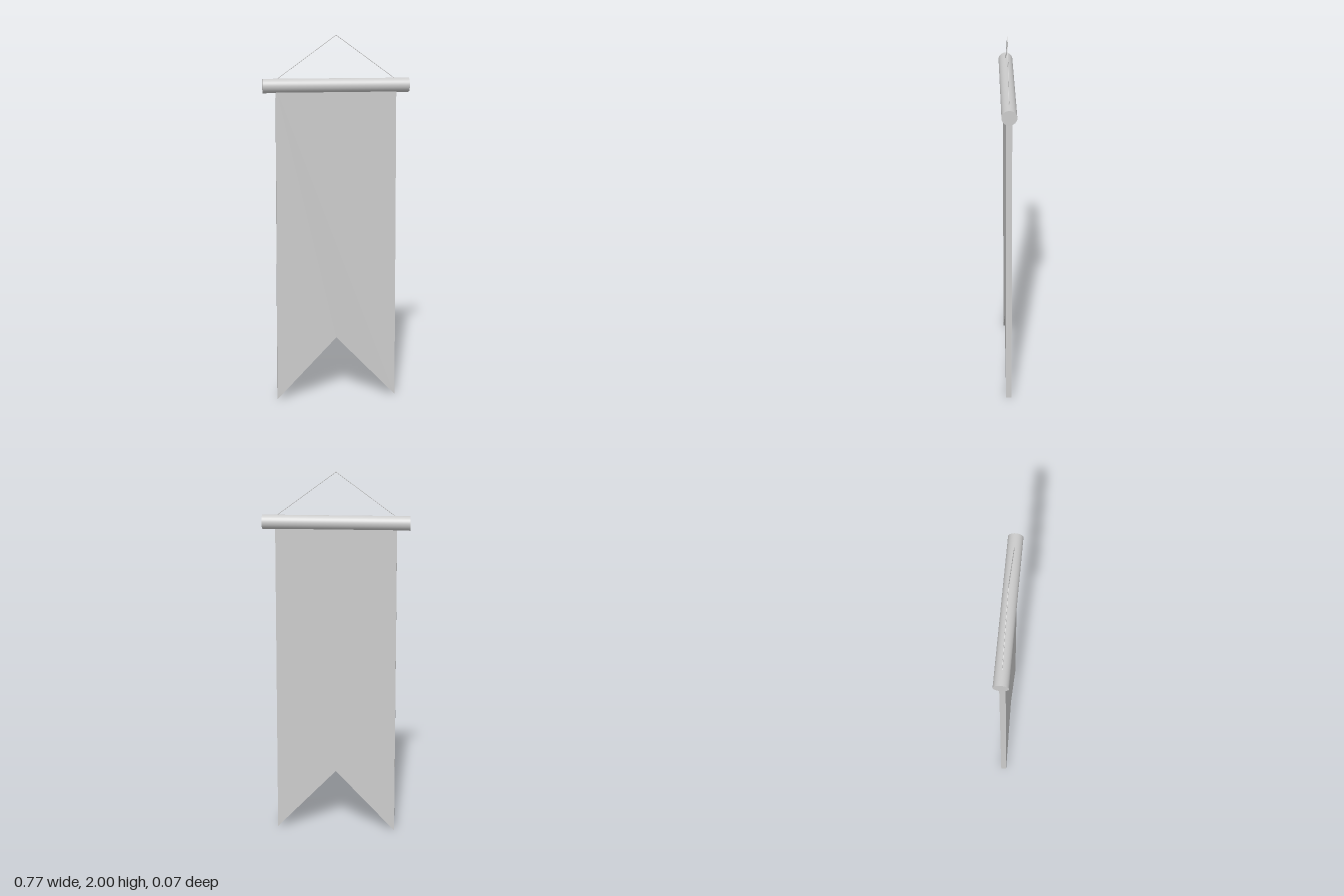
import * as THREE from 'three';

export function createModel() {
  const group = new THREE.Group();
  const material = new THREE.MeshStandardMaterial({ color: 0xcccccc });

  const add = (name, geometry) => {
    const mesh = new THREE.Mesh(geometry, material);
    mesh.name = name;
    group.add(mesh);
    return mesh;
  };

  // Horizontal rod
  const rodY = 1.742, rodRadius = 0.037;
  const rod = add('rod', new THREE.CylinderGeometry(rodRadius, rodRadius, 0.766, 32));
  rod.rotation.z = Math.PI / 2;
  rod.position.y = rodY;

  // Swallow-tailed cloth, slightly wider at the bottom
  const thickness = 0.031;
  const outline = new THREE.Shape([
    [-0.315, rodY], [-0.332, 0], [0, 0.355], [0.332, 0], [0.315, rodY],
  ].map(([x, y]) => new THREE.Vector2(x, y)));
  const cloth = new THREE.ExtrudeGeometry(outline, { depth: thickness, bevelEnabled: false });
  cloth.translate(0, 0, -thickness / 2);
  add('bannerCloth', cloth);

  // Hanging cord, two straight strands meeting at a peak
  const peak = new THREE.Vector3(0, 1.999, 0);
  for (const [side, name] of [[1, 'leftCord'], [-1, 'rightCord']]) {
    const end = new THREE.Vector3(side * 0.309, rodY + rodRadius - 0.003, 0);
    add(name, new THREE.TubeGeometry(new THREE.LineCurve3(end, peak), 1, 0.0015, 8));
  }

  return group;
}
